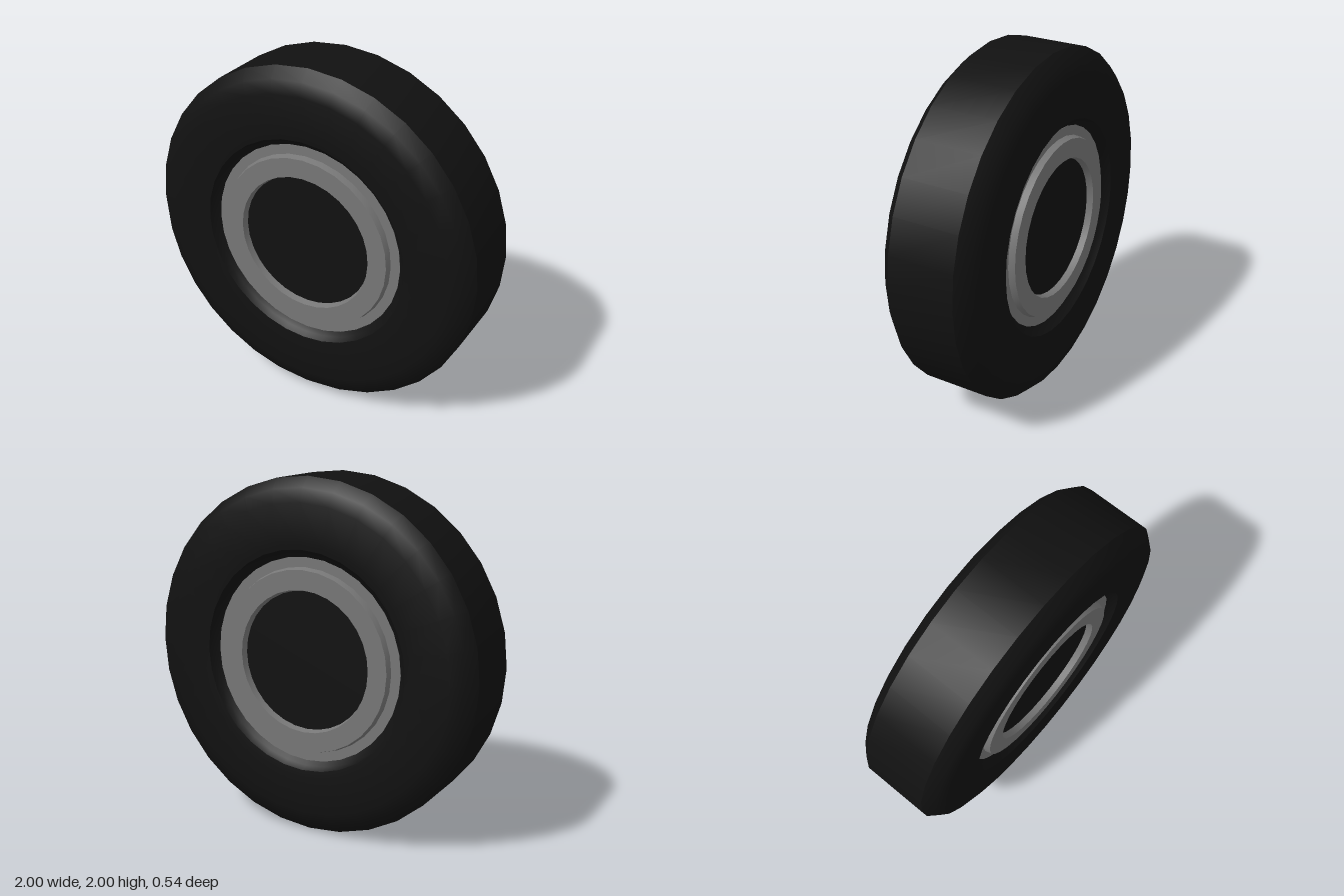
import * as THREE from 'three';
import { toCreasedNormals } from 'three/addons/utils/BufferGeometryUtils.js';

const SIDES = 32;
const rubber = new THREE.MeshStandardMaterial({ color: 0x111111 });
const metal = new THREE.MeshStandardMaterial({ color: 0x777777 });

// Turns one half of a [radius, depth] profile, mirrored front to back, about the z axis
function turned(name, half, material) {
  const back = half.map(([r, z]) => new THREE.Vector2(r, -z));
  const front = half.map(([r, z]) => new THREE.Vector2(r, z)).reverse();
  const lathe = new THREE.LatheGeometry([...back, ...front], SIDES);
  lathe.rotateX(Math.PI / 2);
  const mesh = new THREE.Mesh(toCreasedNormals(lathe, 0.6), material);
  mesh.name = name;
  return mesh;
}

export function createModel() {
  const wheel = new THREE.Group();
  wheel.name = 'wheel';

  // Tyre: recessed bead, flat sidewall, rounded shoulder, flat tread
  wheel.add(turned('tyre', [
    [0.57, 0.215], [0.6, 0.235], [0.62, 0.265], [0.66, 0.27],
    [0.87, 0.27], [0.945, 0.248], [1, 0.19],
  ], rubber));

  // Rim: raised inner ring with a lower outer lip, on both faces
  wheel.add(turned('rim', [
    [0.39, 0.215], [0.4, 0.255], [0.51, 0.255], [0.52, 0.22], [0.575, 0.22],
  ], metal));

  // Dark hub filling the middle of the rim
  const hub = new THREE.Mesh(new THREE.CylinderGeometry(0.392, 0.392, 0.436, SIDES), rubber);
  hub.name = 'hub';
  hub.rotation.x = Math.PI / 2;
  wheel.add(hub);

  wheel.position.y = 1;
  const model = new THREE.Group();
  model.add(wheel);
  return model;
}
